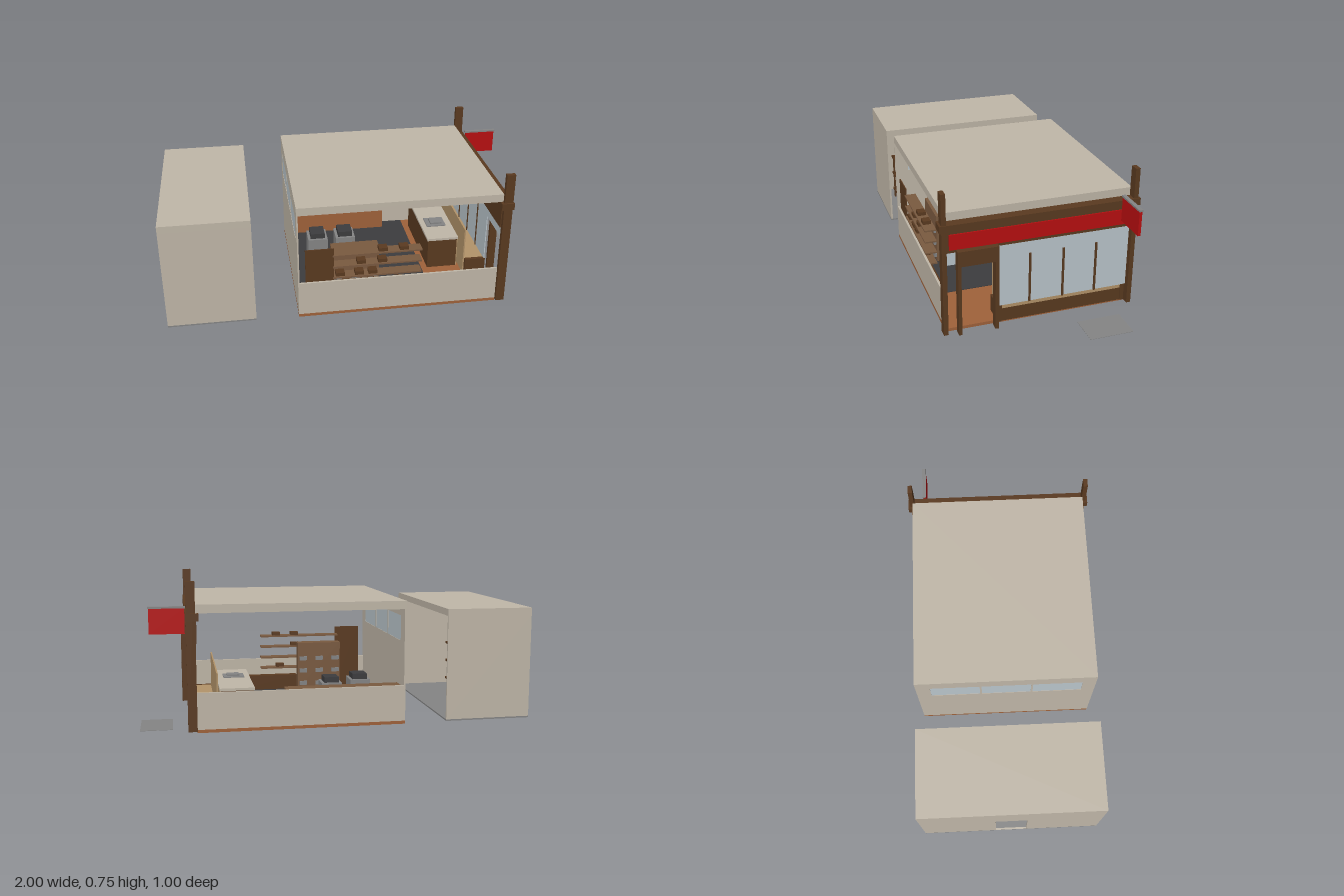
import * as THREE from 'three';

const mat = (name, color, side = THREE.FrontSide) => {
  const m = new THREE.MeshStandardMaterial({ color, side });
  m.name = name;
  return m;
};

export function createModel() {
  const root = new THREE.Group();
  root.name = 'shopWithBackRoom';
  const plaster = mat('plaster', 0xc0b7a8);
  const darkWood = mat('darkWood', 0x5a3a20);
  const midWood = mat('midWood', 0x7a5a40);
  const lightWood = mat('lightWood', 0xb3946a);
  const floorWood = mat('floorWood', 0xa0623a);
  const red = mat('red', 0xb80f10);
  const glass = mat('glass', 0xbbc6cc, THREE.DoubleSide);
  const grey = mat('grey', 0x858585, THREE.DoubleSide);
  const charcoal = mat('charcoal', 0x3c3c3e);

  const group = (name) => {
    const g = new THREE.Group();
    g.name = name;
    root.add(g);
    return g;
  };
  // Box given by its limits on each axis
  const box = (parent, name, m, x0, x1, y0, y1, z0, z1) => {
    const mesh = new THREE.Mesh(new THREE.BoxGeometry(x1 - x0, y1 - y0, z1 - z0), m);
    mesh.position.set((x0 + x1) / 2, (y0 + y1) / 2, (z0 + z1) / 2);
    mesh.name = name;
    parent.add(mesh);
    return mesh;
  };
  const rect = (C, z0, z1, y0, y1) => {
    const p = new C();
    p.moveTo(-z1, y0);
    p.lineTo(-z0, y0);
    p.lineTo(-z0, y1);
    p.lineTo(-z1, y1);
    p.closePath();
    return p;
  };
  // Wall across z with rectangular openings, starting at x and thickening towards +x
  const piercedWall = (parent, name, m, x, thick, limits, holes) => {
    const s = rect(THREE.Shape, ...limits);
    holes.forEach((h) => s.holes.push(rect(THREE.Path, ...h)));
    const geo = new THREE.ExtrudeGeometry(s, { depth: thick, bevelEnabled: false });
    geo.rotateY(Math.PI / 2);
    const mesh = new THREE.Mesh(geo, m);
    mesh.position.x = x;
    mesh.name = name;
    parent.add(mesh);
  };

  // Shop shell: floor, low side walls, rear wall with high windows, roof
  const shell = group('shopShell');
  box(shell, 'floor', floorWood, -0.33, 0.72, 0, 0.016, -0.475, 0.47);
  box(shell, 'darkFloorArea', charcoal, -0.315, 0.4, 0.016, 0.019, -0.46, 0.455);
  box(shell, 'leftLowWall', plaster, -0.33, 0.72, 0.016, 0.2, 0.458, 0.47);
  box(shell, 'rightLowWall', plaster, -0.33, 0.72, 0.016, 0.2, -0.475, -0.463);
  box(shell, 'roof', plaster, -0.33, 0.72, 0.59, 0.632, -0.475, 0.47);
  const panes = [-0.4, -0.13, 0.14].map((z) => [z, z + 0.26, 0.42, 0.55]);
  piercedWall(shell, 'rearWall', plaster, -0.33, 0.008, [-0.475, 0.47, 0.016, 0.59], panes);
  panes.forEach(([z0, z1, y0, y1]) =>
    box(shell, 'rearWindow', glass, -0.328, -0.324, y0, y1, z0, z1));

  // Timber shopfront
  const front = group('shopfront');
  for (const s of [-1, 1]) {
    box(front, 'cornerPost', darkWood, 0.72, 0.765, 0.01, 0.745, s * 0.478 - 0.0115, s * 0.478 + 0.0115);
  }
  box(front, 'topBeam', darkWood, 0.705, 0.77, 0.555, 0.591, -0.5, 0.5);
  box(front, 'fascia', darkWood, 0.715, 0.75, 0.44, 0.555, -0.467, 0.467);
  box(front, 'fasciaPanel', red, 0.75, 0.757, 0.457, 0.535, -0.45, 0.452);
  box(front, 'displayGlass', glass, 0.732, 0.737, 0.105, 0.44, -0.467, 0.21);
  box(front, 'transomGlass', glass, 0.732, 0.737, 0.37, 0.44, 0.21, 0.467);
  for (const z of [0.05, -0.122, -0.293]) {
    box(front, 'mullion', darkWood, 0.728, 0.744, 0.105, 0.37, z - 0.005, z + 0.005);
  }
  // Open door frame
  box(front, 'doorHeader', darkWood, 0.745, 0.785, 0.378, 0.456, 0.22, 0.42);
  box(front, 'doorPostLeft', darkWood, 0.745, 0.785, 0.01, 0.378, 0.404, 0.42);
  box(front, 'doorPostRight', darkWood, 0.745, 0.785, 0.01, 0.378, 0.22, 0.238);
  // Window display bench and its backboard
  box(front, 'displayBase', darkWood, 0.625, 0.735, 0.016, 0.086, -0.44, 0.192);
  box(front, 'displayTop', lightWood, 0.625, 0.735, 0.086, 0.105, -0.44, 0.192);
  box(front, 'displayEnd', darkWood, 0.625, 0.74, 0.016, 0.106, 0.192, 0.212);
  box(front, 'displayEnd', darkWood, 0.625, 0.74, 0.016, 0.106, -0.46, -0.44);
  box(front, 'displayBackboard', lightWood, 0.616, 0.623, 0.016, 0.29, -0.45, 0.2);

  // Hanging sign and pavement plate
  const sign = group('hangingSign');
  box(sign, 'bracket', grey, 0.765, 0.946, 0.61, 0.619, -0.42, -0.4);
  box(sign, 'signBoard', red, 0.77, 0.942, 0.485, 0.61, -0.417, -0.403);
  box(root, 'pavementPlate', grey, 0.84, 1, 0, 0.002, -0.39, -0.165);

  // Service counter
  const counter = group('serviceCounter');
  box(counter, 'counterBody', darkWood, 0.435, 0.6, 0.016, 0.188, -0.39, 0.115);
  box(counter, 'counterFront', lightWood, 0.6, 0.604, 0.016, 0.188, -0.39, 0.115);
  box(counter, 'counterTop', plaster, 0.43, 0.606, 0.188, 0.201, -0.395, 0.12);
  box(counter, 'tray', grey, 0.46, 0.57, 0.201, 0.206, -0.12, -0.02);
  box(counter, 'trayTop', grey, 0.485, 0.55, 0.206, 0.215, -0.1, -0.04);

  // Workbench beside the right wall
  const bench = group('workbench');
  box(bench, 'benchBody', floorWood, -0.3, 0.27, 0.019, 0.185, -0.46, -0.39);
  box(bench, 'benchTop', midWood, -0.31, 0.28, 0.185, 0.198, -0.462, -0.38);

  // Appliances in the middle of the floor
  const appliances = group('appliances');
  for (const [x, z, h] of [[-0.17, -0.08, 0.17], [-0.01, -0.1, 0.16]]) {
    box(appliances, 'applianceBody', grey, x - 0.055, x + 0.055, 0.019, h, z - 0.06, z + 0.06);
    box(appliances, 'applianceTop', charcoal, x - 0.04, x + 0.04, h, h + 0.03, z - 0.045, z + 0.045);
  }

  // Free-standing display with goods on both sides
  const stand = group('displayStand');
  box(stand, 'standPanel', midWood, -0.14, 0.11, 0.045, 0.315, 0.28, 0.35);
  box(stand, 'standFoot', darkWood, -0.1, 0.07, 0.019, 0.045, 0.295, 0.335);
  for (const y of [0.078, 0.153, 0.225]) {
    for (const x of [-0.11, -0.015, 0.08]) {
      box(stand, 'goods', grey, x - 0.022, x + 0.022, y - 0.011, y + 0.011, 0.267, 0.363);
    }
  }

  // Side shelves with boxes, end panel and floor chest
  const shelves = group('sideShelves');
  box(shelves, 'endPanel', darkWood, -0.29, -0.143, 0.019, 0.385, 0.452, 0.458);
  const rows = [[0.15, [-0.08, 0.06, 0.2]], [0.213, [-0.11, -0.01, 0.06]],
    [0.277, [0, 0.11]], [0.341, [0.112, 0.222]]];
  for (const [y, xs] of rows) {
    box(shelves, 'shelf', midWood, -0.15, 0.315, y - 0.004, y + 0.004, 0.4, 0.462);
    for (const x of xs) {
      box(shelves, 'shelfBox', darkWood, x - 0.023, x + 0.023, y + 0.004, y + 0.023, 0.41, 0.453);
    }
  }
  box(shelves, 'floorChest', darkWood, 0.1, 0.45, 0.019, 0.103, 0.41, 0.456);

  // Back room, open towards the shop, with a rear doorway
  const room = group('backRoom');
  box(room, 'roomFloor', grey, -1, -0.55, 0.004, 0.012, -0.475, 0.47);
  box(room, 'roomRoof', plaster, -1, -0.55, 0.55, 0.585, -0.475, 0.47);
  box(room, 'roomLeftWall', plaster, -1, -0.55, 0.012, 0.55, 0.46, 0.47);
  box(room, 'roomRightWall', plaster, -1, -0.55, 0.012, 0.55, -0.475, -0.465);
  piercedWall(room, 'roomRearWall', plaster, -1, 0.01, [-0.465, 0.46, 0.012, 0.55],
    [[-0.085, 0.08, 0.0125, 0.36]]);
  for (const y of [0.06, 0.17, 0.28]) {
    box(room, 'storageShelf', darkWood, -0.91, -0.83, y - 0.006, y + 0.006, -0.02, 0.38);
    for (const z of [0.05, 0.18, 0.31]) {
      box(room, 'storedBox', midWood, -0.89, -0.85, y + 0.006, y + 0.03, z - 0.025, z + 0.025);
    }
  }
  for (const z of [-0.015, 0.375]) {
    box(room, 'storagePost', darkWood, -0.875, -0.865, 0.012, 0.3, z - 0.005, z + 0.005);
  }
  return root;
}
